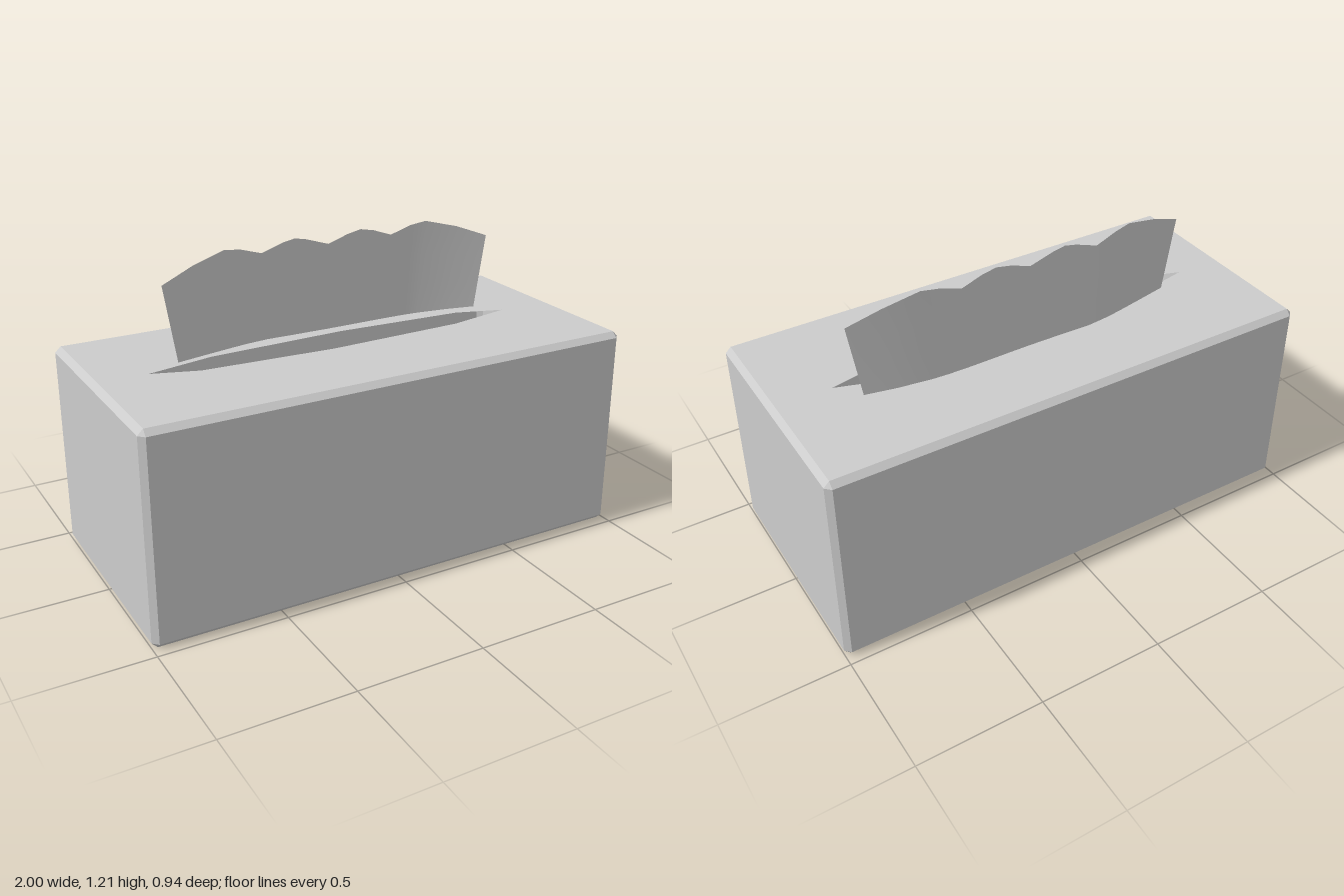
import * as THREE from 'three';
import { ConvexGeometry } from 'three/addons/geometries/ConvexGeometry.js';

const W = 1, H = 0.825, D = 0.468, BEVEL = 0.022;

// Chamfered box shell with its top face left out
function shellGeometry() {
  const points = [];
  for (const sx of [-1, 1]) for (const sy of [-1, 1]) for (const sz of [-1, 1]) {
    for (let axis = 0; axis < 3; axis++) {
      const inset = [0, 1, 2].map(i => (i === axis ? 0 : BEVEL));
      points.push(new THREE.Vector3(
        sx * (W - inset[0]),
        H / 2 + sy * (H / 2 - inset[1]),
        sz * (D - inset[2])));
    }
  }
  const hull = new ConvexGeometry(points).getAttribute('position');
  const kept = [];
  for (let i = 0; i < hull.count; i += 3) {
    const isTop = [0, 1, 2].every(k => hull.getY(i + k) > H - 1e-4);
    if (isTop) continue;
    for (let k = 0; k < 3; k++) kept.push(hull.getX(i + k), hull.getY(i + k), hull.getZ(i + k));
  }
  const geometry = new THREE.BufferGeometry();
  geometry.setAttribute('position', new THREE.Float32BufferAttribute(kept, 3));
  geometry.computeVertexNormals();
  return geometry;
}

// Flat top with the faceted, slightly uneven slot
function topGeometry() {
  const x = W - BEVEL, z = D - BEVEL;
  const toPath = pts => pts.map(([px, pz]) => new THREE.Vector2(px, -pz));
  const shape = new THREE.Shape(toPath([[-x, z], [x, z], [x, -z], [-x, -z]]));
  shape.holes.push(new THREE.Path(toPath([
    [-0.79, -0.005], [-0.52, -0.06], [0.04, -0.08], [0.57, -0.052],
    [0.76, 0.01], [0.49, 0.065], [-0.08, 0.085], [-0.61, 0.055],
  ])));
  return new THREE.ShapeGeometry(shape).rotateX(-Math.PI / 2).translate(0, H, 0);
}

// Upright tissue sheet: columns of [x at top, y at top, z], flared upwards
function tissueGeometry() {
  const columns = [
    [-0.70, 1.125, -0.062], [-0.57, 1.173, -0.088], [-0.43, 1.208, -0.115],
    [-0.36, 1.198, -0.126], [-0.27, 1.17, -0.135], [-0.18, 1.2, -0.133],
    [-0.13, 1.21, -0.132], [-0.08, 1.2, -0.132], [0.015, 1.17, -0.131],
    [0.10, 1.198, -0.132], [0.16, 1.21, -0.133], [0.22, 1.198, -0.134],
    [0.30, 1.17, -0.135], [0.39, 1.198, -0.134], [0.46, 1.208, -0.13],
    [0.60, 1.173, -0.112], [0.73, 1.125, -0.087],
  ];
  const rows = 3, base = H - 0.015;
  const geometry = new THREE.PlaneGeometry(1, 1, columns.length - 1, rows);
  const pos = geometry.getAttribute('position');
  for (let r = 0; r <= rows; r++) {
    columns.forEach(([x, y, z], c) => {
      const t = 1 - r / rows;
      const flare = THREE.MathUtils.lerp(0.93, 1, t);
      pos.setXYZ(r * columns.length + c, 0.015 + (x - 0.015) * flare, THREE.MathUtils.lerp(base, y, t), z);
    });
  }
  geometry.computeVertexNormals();
  return geometry;
}

export function createModel() {
  const grey = new THREE.MeshStandardMaterial({ color: 0xcccccc, side: THREE.DoubleSide });
  grey.name = 'light grey';
  const model = new THREE.Group();
  model.name = 'tissueBox';
  const add = (name, geometry) => {
    const mesh = new THREE.Mesh(geometry, grey);
    mesh.name = name;
    model.add(mesh);
  };
  add('boxShell', shellGeometry());
  add('slottedTop', topGeometry());
  add('tissue', tissueGeometry());
  return model;
}
